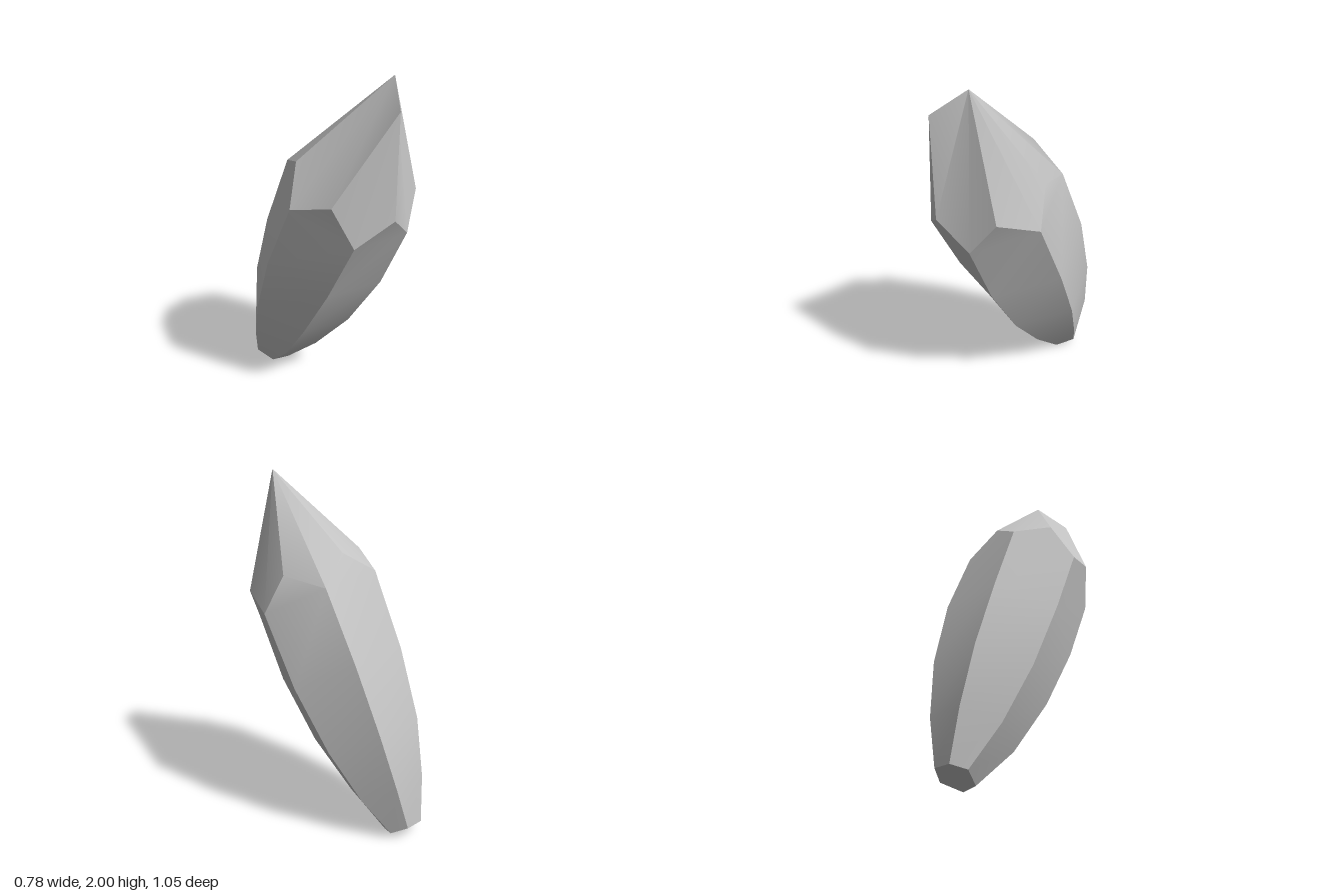
import * as THREE from 'three';
import { toCreasedNormals } from 'three/addons/utils/BufferGeometryUtils.js';

// Six ridges, each listed from the crown down to the foot, counter-clockwise from above
const ridges = [
  [[0.21, 1.17, 0.43], [0.165, 0.81, 0.28], [0.09, 0.47, 0.08], [0, 0.2, -0.14], [-0.08, 0, -0.35]],
  [[0.39, 1.29, 0.12], [0.335, 0.9, -0.06], [0.235, 0.55, -0.22], [0.1, 0.25, -0.35], [-0.03, 0.04, -0.45]],
  [[0.19, 1.45, -0.15], [0.14, 1.06, -0.33], [0.07, 0.68, -0.45], [-0.01, 0.35, -0.51], [-0.09, 0.085, -0.525]],
  [[-0.18, 1.48, -0.12], [-0.225, 1.07, -0.29], [-0.24, 0.69, -0.42], [-0.225, 0.36, -0.49], [-0.2, 0.085, -0.52]],
  [[-0.35, 1.35, 0.18], [-0.39, 0.97, 0], [-0.38, 0.6, -0.165], [-0.325, 0.29, -0.315], [-0.25, 0.06, -0.45]],
  [[-0.15, 1.19, 0.46], [-0.19, 0.83, 0.28], [-0.215, 0.49, 0.07], [-0.21, 0.2, -0.15], [-0.19, 0.01, -0.36]],
];

// Corners of the faceted point
const [front, right, backRight, backLeft, left, frontLeft] = ridges.map((r) => r[0]);
const apex = [0.14, 2, 0.36];
const brow = [0.05, 1.88, 0.525];
const chin = [0.05, 1.32, 0.525];
const cheek = [0.33, 1.36, 0.34];
const rightPeak = [0.315, 1.5, 0.045];
const backPeak = [0.02, 1.6, -0.08];
const leftPeak = [-0.255, 1.56, 0.095];
const leftCheek = [-0.24, 1.41, 0.39];

function createModel() {
  const positions = [];
  const face = (...corners) => {
    for (let i = 1; i < corners.length - 1; i++) {
      positions.push(...corners[0], ...corners[i], ...corners[i + 1]);
    }
  };

  // Long bowed sides between neighbouring ridges
  ridges.forEach((a, i) => {
    const b = ridges[(i + 1) % ridges.length];
    for (let j = 0; j < a.length - 1; j++) face(a[j + 1], b[j + 1], b[j], a[j]);
  });

  // Pointed upper ends of the sides
  face(front, right, cheek);
  face(right, backRight, rightPeak);
  face(backRight, backLeft, backPeak);
  face(backLeft, left, leftPeak);
  face(left, frontLeft, leftCheek);
  face(frontLeft, front, chin);

  // Facets of the point
  face(apex, brow, chin, front, cheek);
  face(apex, cheek, right, rightPeak);
  face(apex, rightPeak, backRight, backPeak);
  face(apex, backPeak, backLeft, leftPeak);
  face(apex, leftPeak, left, leftCheek, brow);
  face(brow, leftCheek, frontLeft, chin);

  // Small foot
  face(...ridges.map((r) => r[4]).reverse());

  const geometry = new THREE.BufferGeometry();
  geometry.setAttribute('position', new THREE.Float32BufferAttribute(positions, 3));

  const stone = new THREE.MeshStandardMaterial({ color: 0xc4c4c4 });
  stone.name = 'grey stone';
  const crystal = new THREE.Mesh(toCreasedNormals(geometry, 0.52), stone);
  crystal.name = 'crystal';

  const group = new THREE.Group();
  group.name = 'crystalShard';
  group.add(crystal);
  return group;
}

export { createModel };
